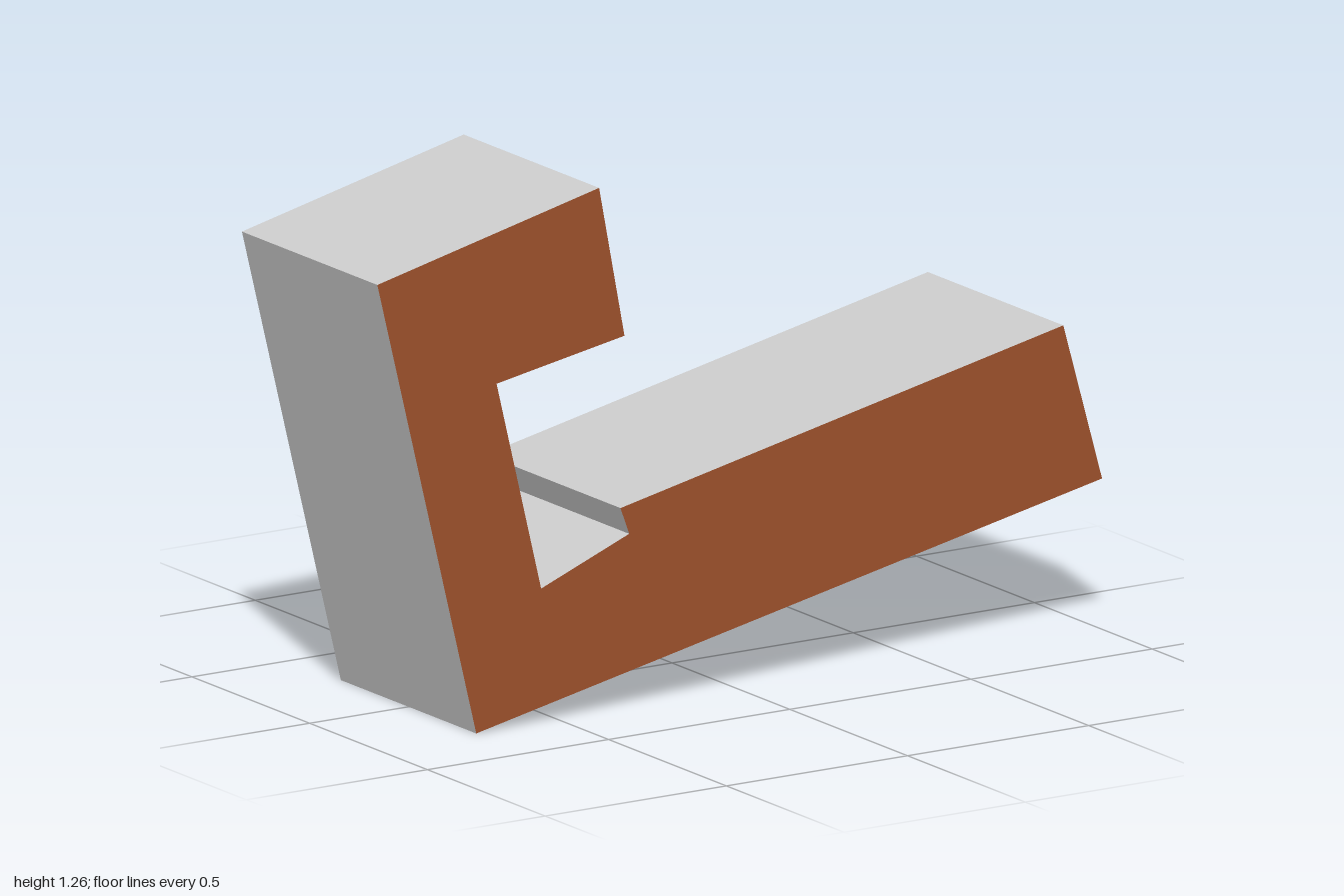
import * as THREE from 'three';

const DEPTH = 0.575;

// Tilted hooked outline, seen from the front
const OUTLINE = [
  [-0.727, 0], [1, 0.361], [0.893, 0.743], [-0.329, 0.482], [-0.305, 0.417],
  [-0.548, 0.321], [-0.671, 0.829], [-0.318, 0.893], [-0.388, 1.257], [-1, 1.113],
];

// Copy a run of vertices out of a non-indexed geometry
function slice(geometry, start, count) {
  const part = new THREE.BufferGeometry();
  for (const name of ['position', 'normal']) {
    const array = geometry.attributes[name].array.slice(start * 3, (start + count) * 3);
    part.setAttribute(name, new THREE.BufferAttribute(array, 3));
  }
  return part;
}

export function createModel() {
  const group = new THREE.Group();
  group.name = 'hookedBlock';

  const shape = new THREE.Shape(OUTLINE.map(([x, y]) => new THREE.Vector2(x, y)));
  const solid = new THREE.ExtrudeGeometry(shape, { depth: DEPTH, bevelEnabled: false });
  solid.translate(0, 0, -DEPTH / 2);

  // The extrusion stores the back cap, then the front cap, then the walls
  const cap = solid.groups[0].count / 2;
  const walls = solid.groups[1];

  const grey = new THREE.MeshStandardMaterial({ color: 0xcccccc });
  const brown = new THREE.MeshStandardMaterial({ color: 0xa0522d });

  const addPart = (name, start, count, material) => {
    const mesh = new THREE.Mesh(slice(solid, start, count), material);
    mesh.name = name;
    group.add(mesh);
  };
  addPart('backFace', 0, cap, grey);
  addPart('frontFace', cap, cap, brown);
  addPart('sideWalls', walls.start, walls.count, grey);

  return group;
}
